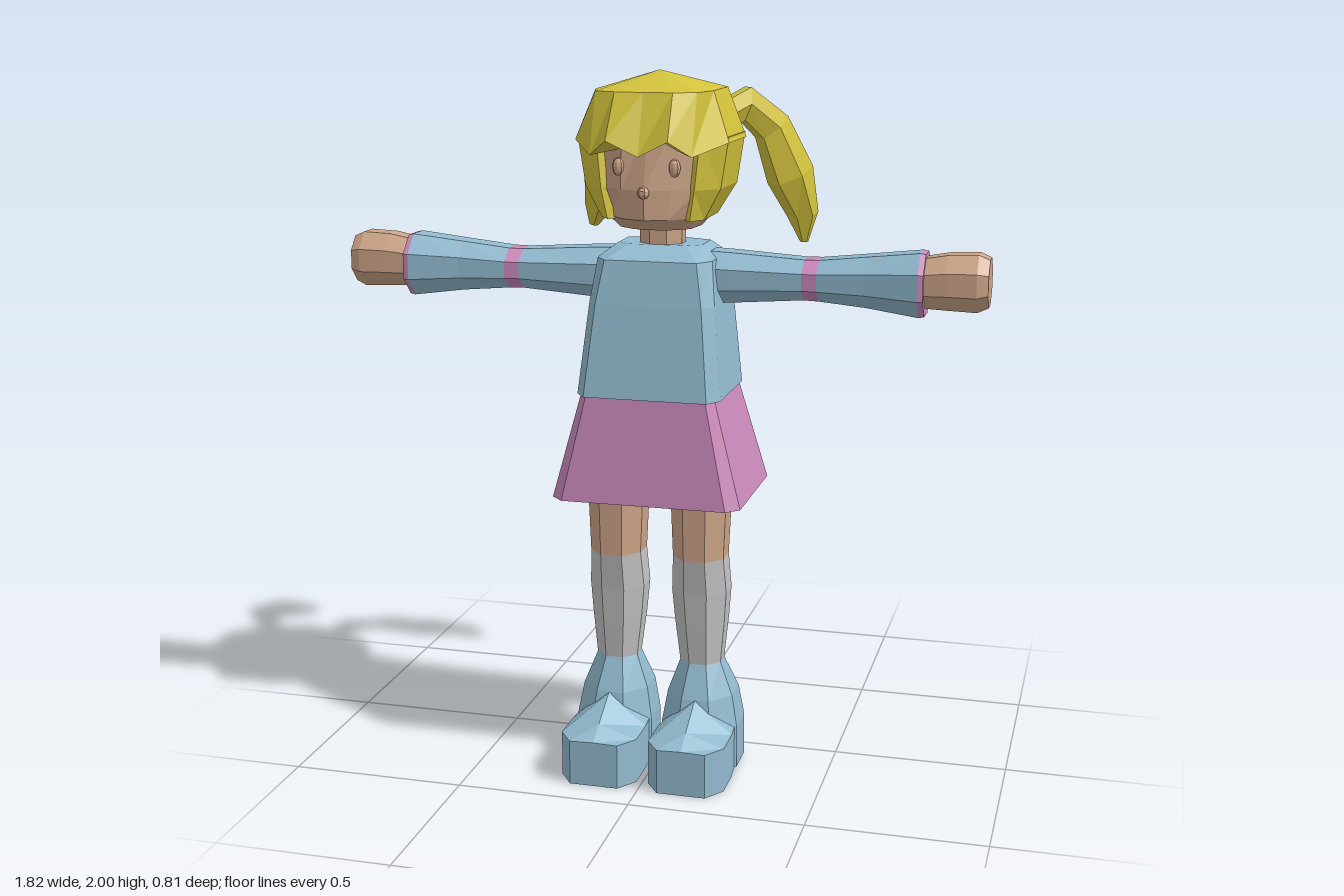
import * as THREE from 'three';

const paint = (name, color) => {
  const m = new THREE.MeshStandardMaterial({ color, flatShading: true });
  m.name = name;
  return m;
};

// Skin a list of equal-length rings of [x, y, z] points and close both ends
function loft(rings) {
  const tris = [];
  const n = rings[0].length;
  const centre = (r) => [0, 1, 2].map((k) => r.reduce((s, p) => s + p[k], 0) / n);
  for (let i = 0; i < rings.length - 1; i++) {
    for (let j = 0; j < n; j++) {
      const k = (j + 1) % n;
      const [a, b, c, d] = [rings[i][j], rings[i][k], rings[i + 1][k], rings[i + 1][j]];
      tris.push([a, b, c], [a, c, d]);
    }
  }
  const first = rings[0], last = rings[rings.length - 1];
  const c0 = centre(first), c1 = centre(last);
  for (let j = 0; j < n; j++) {
    const k = (j + 1) % n;
    tris.push([c0, first[k], first[j]], [c1, last[j], last[k]]);
  }
  // Drop empty triangles and turn the whole skin outward
  const v = (p) => new THREE.Vector3(...p);
  const solid = tris.filter(([a, b, c]) => v(b).sub(v(a)).cross(v(c).sub(v(a))).length() > 1e-9);
  const volume = solid.reduce((s, [a, b, c]) => s + v(a).dot(v(b).cross(v(c))), 0);
  const out = volume < 0 ? solid.map(([a, b, c]) => [a, c, b]) : solid;
  const g = new THREE.BufferGeometry();
  g.setAttribute('position', new THREE.Float32BufferAttribute(out.flat(2), 3));
  g.computeVertexNormals();
  return g;
}

// Horizontal ring mirrored over x = 0 from half points [x, z] or [x, z, dy], front to back
function mirrorRing(y, half) {
  const right = half.map(([x, z, dy = 0]) => [x, y + dy, z]);
  const left = right.filter((p) => p[0] > 1e-6).reverse().map(([x, py, z]) => [-x, py, z]);
  return [...right, ...left];
}

// Horizontal octagon: centre, half width, z limits
function octagonY(y, cx, hw, z0, z1) {
  const r = [];
  for (let i = 0; i < 8; i++) {
    const a = ((i + 0.5) * Math.PI) / 4, s = 1.08;
    const clamp = (t) => Math.max(-1, Math.min(1, t * s));
    r.push([cx + hw * clamp(Math.cos(a)), y, (z0 + z1) / 2 + ((z1 - z0) / 2) * clamp(Math.sin(a))]);
  }
  return r;
}

// Upright octagon across the arm: [x, y centre, z centre, y radius, z radius]
function octagonX([x, cy, cz, ry, rz]) {
  return Array.from({ length: 8 }, (_, i) => {
    const a = ((i + 0.5) * Math.PI) / 4;
    return [x, cy + ry * 1.08 * Math.sin(a), cz + rz * 1.08 * Math.cos(a)];
  });
}

// Rings across a drooping path of [x, y, z, width, thickness]
function pathRings(path, sx, sides = 6) {
  const side = new THREE.Vector3(0.72, 0, 0.68 * sx).normalize();
  return path.map((p, i) => {
    const a = path[Math.max(0, i - 1)], b = path[Math.min(path.length - 1, i + 1)];
    const t = new THREE.Vector3(b[0] - a[0], b[1] - a[1], b[2] - a[2]).normalize();
    const n = t.cross(side).normalize();
    return Array.from({ length: sides }, (_, j) => {
      const q = (j / sides) * Math.PI * 2, u = Math.cos(q) * p[3], w = Math.sin(q) * p[4];
      return [p[0] + side.x * u + n.x * w, p[1] + side.y * u + n.y * w, p[2] + side.z * u + n.z * w];
    });
  });
}

export function createModel() {
  const model = new THREE.Group();
  const skin = paint('skin', 0xcca488);
  const hair = paint('hair yellow', 0xd2c23c);
  const blue = paint('soft blue', 0x92bacf);
  const pink = paint('pink', 0xcb8abb);
  const grey = paint('sock grey', 0xc3c3c3);
  const add = (name, geo, mat) => {
    const m = new THREE.Mesh(geo, mat);
    m.name = name;
    model.add(m);
    return m;
  };

  // Skirt and top
  add('skirt', loft([
    mirrorRing(0.82, [[0, 0.34], [0.235, 0.34], [0.27, 0.305], [0.27, -0.06], [0, -0.085]]),
    mirrorRing(1.14, [[0, 0.305], [0.165, 0.305], [0.185, 0.28], [0.185, -0.01], [0, -0.035]]),
  ]), pink);
  add('shirt', loft([
    mirrorRing(1.115, [[0, 0.315], [0.175, 0.315], [0.205, 0.27], [0.205, 0], [0, -0.01]]),
    mirrorRing(1.37, [[0, 0.275], [0.15, 0.275], [0.178, 0.235], [0.178, 0], [0, -0.015]]),
    mirrorRing(1.49, [[0, 0.25], [0.13, 0.25], [0.163, 0.2], [0.163, 0.01], [0, -0.015]]),
    mirrorRing(1.525, [[0, 0.17], [0.08, 0.17], [0.12, 0.14], [0.12, 0.04], [0, -0.01]]),
  ]), blue);
  add('neck', loft([1.48, 1.62].map((y) => octagonY(y, 0, 0.06, 0.055, 0.165))), skin);

  for (const s of [1, -1]) {
    const side = s > 0 ? 'left' : 'right';

    // Sleeve, elbow band, cuff and hand
    const arm = (name, stations, mat) =>
      add(side + name, loft(stations.map(([x, ...r]) => octagonX([x * s, ...r]))), mat);
    const elbowIn = [0.405, 1.437, 0.1, 0.056, 0.077], elbowOut = [0.447, 1.437, 0.102, 0.057, 0.078];
    arm('UpperSleeve', [[0.13, 1.435, 0.095, 0.073, 0.085], [0.2, 1.435, 0.095, 0.07, 0.085], elbowIn], blue);
    arm('ElbowBand', [elbowIn, elbowOut], pink);
    arm('LowerSleeve', [elbowOut, [0.58, 1.44, 0.112, 0.07, 0.08], [0.725, 1.44, 0.125, 0.088, 0.088]], blue);
    arm('Cuff', [[0.725, 1.44, 0.125, 0.088, 0.088], [0.74, 1.44, 0.125, 0.085, 0.085]], pink);
    arm('Hand', [[0.72, 1.445, 0.13, 0.066, 0.066], [0.8, 1.45, 0.127, 0.075, 0.072],
      [0.88, 1.45, 0.125, 0.078, 0.074], [0.91, 1.45, 0.125, 0.065, 0.06]], skin);

    // Leg, sock and shoe
    const leg = (name, stations, mat) =>
      add(side + name, loft(stations.map(([y, cx, ...r]) => octagonY(y, cx * s, ...r))), mat);
    const kneeRing = [0.635, 0.122, 0.074, 0.065, 0.235], ankle = [0.315, 0.125, 0.06, 0.08, 0.2];
    leg('Thigh', [[0.86, 0.122, 0.083, 0.05, 0.24], kneeRing], skin);
    leg('Sock', [kneeRing, [0.53, 0.122, 0.08, 0.052, 0.22], [0.44, 0.123, 0.073, 0.06, 0.212], ankle], grey);
    leg('Boot', [ankle, [0.22, 0.127, 0.096, 0.025, 0.24], [0.13, 0.128, 0.112, 0.015, 0.26],
      [0.005, 0.128, 0.112, 0.015, 0.26]], blue);
    const toe = [[0.12, 0.1, 0.22], [0.25, 0.111, 0.22], [0.35, 0.111, 0.165], [0.408, 0.07, 0.132]];
    add(side + 'Toe', loft(toe.map(([z, w, peak]) =>
      [[-w, 0], [w, 0], [w, 0.13], [0, peak], [-w, 0.13]].map(([x, y]) => [0.128 * s + x, y, z]))), blue);

    // Eye
    const eye = add(side + 'Eye', new THREE.SphereGeometry(1, 8, 6), skin);
    eye.scale.set(0.017, 0.025, 0.012);
    eye.position.set(0.078 * s, 1.75, 0.284);
  }

  // Face
  add('head', loft([
    mirrorRing(1.575, [[0, 0.24], [0.05, 0.23], [0.1, 0.19], [0.11, 0.1], [0, 0.02]]),
    mirrorRing(1.61, [[0, 0.31], [0.06, 0.29], [0.12, 0.23], [0.14, 0.1], [0, -0.02]]),
    mirrorRing(1.69, [[0, 0.315], [0.07, 0.29], [0.14, 0.25], [0.165, 0.1], [0, -0.05]]),
    mirrorRing(1.85, [[0, 0.275], [0.07, 0.28], [0.14, 0.25], [0.165, 0.1], [0, -0.05]]),
  ]), skin);
  const nose = add('nose', new THREE.SphereGeometry(0.017, 6, 5), skin);
  nose.position.set(0, 1.685, 0.315);

  // Hair: crown with a scalloped fringe, and the lower hair wrapping sides and back
  add('hairCrown', loft([
    mirrorRing(1.815, [[0, 0.37, -0.03], [0.085, 0.385, 0.012], [0.14, 0.345, -0.03], [0.215, 0.23],
      [0.22, 0.04], [0.13, -0.09], [0, -0.14]]),
    mirrorRing(1.95, [[0, 0.315], [0.08, 0.31], [0.14, 0.285], [0.165, 0.2],
      [0.165, 0.03], [0.1, -0.04], [0, -0.07]]),
    mirrorRing(2.0, [[0, 0.14], [0.001, 0.14], [0.001, 0.14], [0.001, 0.14],
      [0.001, 0.14], [0.001, 0.14], [0, 0.14]]),
  ]), hair);
  add('hairLower', loft([
    mirrorRing(1.83, [[0, 0.15], [0.145, 0.27], [0.212, 0.22], [0.217, 0.04], [0.13, -0.09], [0, -0.14]]),
    mirrorRing(1.69, [[0, 0.15], [0.13, 0.275], [0.19, 0.22], [0.195, 0.04], [0.12, -0.085], [0, -0.12]]),
    mirrorRing(1.605, [[0, 0.13], [0.115, 0.265], [0.145, 0.22], [0.145, 0.06], [0.09, -0.02], [0, -0.04]]),
  ]), hair);

  // Pigtails with bands; the two swing differently
  const tails = {
    left: [[0.17, 1.89, -0.165, 0.035, 0.055], [0.235, 1.82, -0.23, 0.045, 0.06],
      [0.285, 1.68, -0.265, 0.06, 0.075], [0.318, 1.56, -0.3, 0.05, 0.045], [0.325, 1.48, -0.29, 0.012, 0.012]],
    right: [[-0.17, 1.89, -0.165, 0.04, 0.055], [-0.245, 1.8, -0.235, 0.065, 0.065],
      [-0.295, 1.68, -0.32, 0.07, 0.08], [-0.32, 1.57, -0.355, 0.055, 0.05], [-0.345, 1.5, -0.36, 0.015, 0.015]],
  };
  for (const [side, path] of Object.entries(tails)) {
    const s = side === 'left' ? 1 : -1;
    const start = [0.125 * s, 1.86, -0.09, 0.03, 0.045];
    add(side + 'HairBand', loft(pathRings([[0.1 * s, 1.855, -0.035, 0.036, 0.052],
      [0.128 * s, 1.865, -0.09, 0.036, 0.052]], s)), pink);
    add(side + 'Pigtail', loft(pathRings([start, ...path], s)), hair);
  }
  return model;
}
